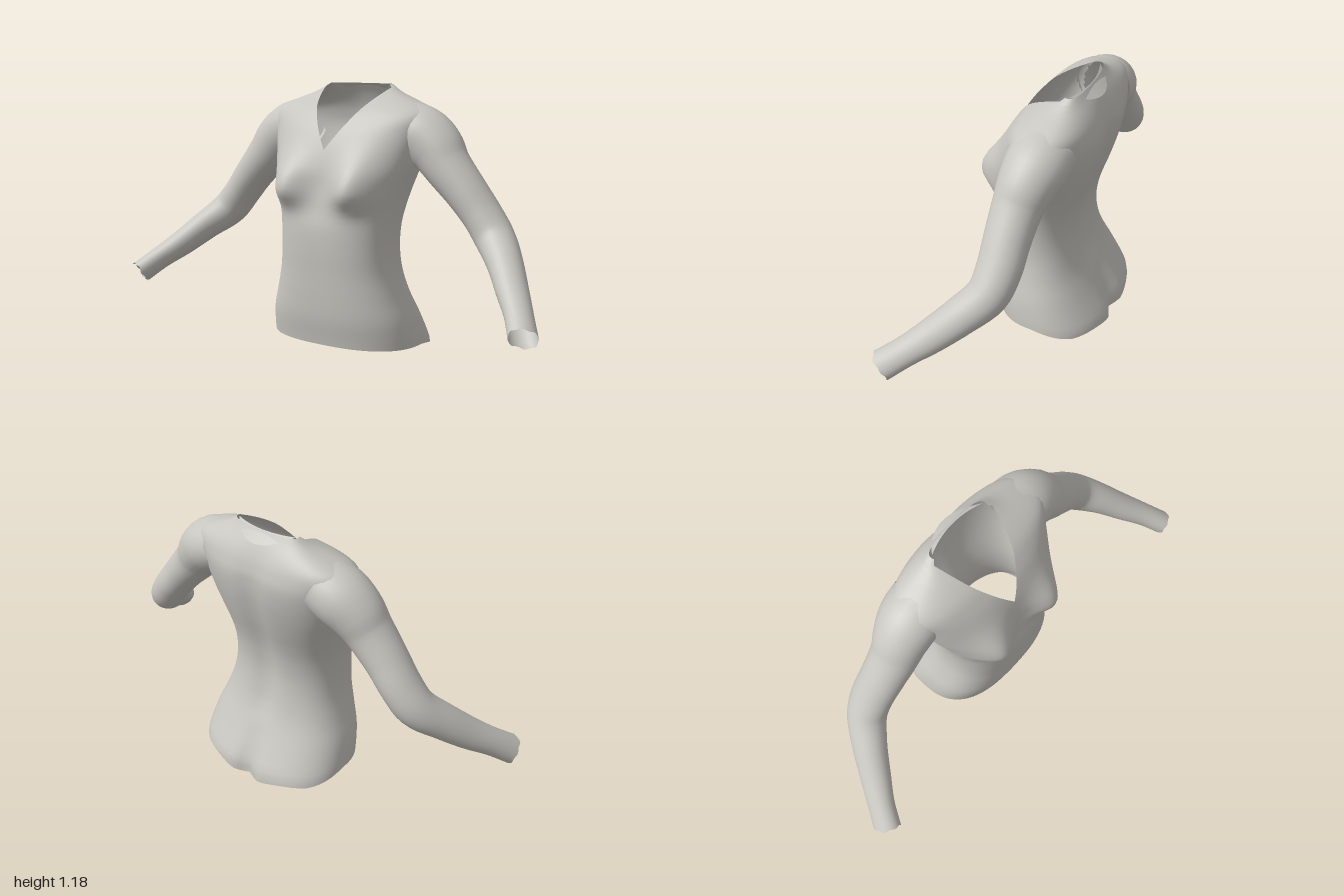
import * as THREE from 'three';
import { mergeVertices } from 'three/addons/utils/BufferGeometryUtils.js';

const V = (x, y, z) => new THREE.Vector3(x, y, z);
const gauss = (d, s) => Math.exp(-(d * d) / (s * s));
const clamp = THREE.MathUtils.clamp;

// Torso profile: height, half width, front z, back z
const PROFILE = [
  [0.00, 0.350, 0.165, -0.332], [0.06, 0.356, 0.170, -0.328], [0.10, 0.355, 0.176, -0.308],
  [0.20, 0.335, 0.195, -0.255], [0.30, 0.300, 0.203, -0.210], [0.40, 0.272, 0.207, -0.185],
  [0.50, 0.262, 0.211, -0.175], [0.60, 0.265, 0.208, -0.184], [0.68, 0.278, 0.190, -0.203],
  [0.76, 0.298, 0.174, -0.228], [0.84, 0.325, 0.166, -0.250], [0.92, 0.345, 0.145, -0.267],
  [1.00, 0.365, 0.108, -0.273], [1.06, 0.385, 0.064, -0.259], [1.09, 0.362, 0.035, -0.247],
  [1.12, 0.292, -0.005, -0.231], [1.15, 0.215, -0.052, -0.212], [1.17, 0.182, -0.085, -0.198],
  [1.187, 0.155, -0.110, -0.187],
];

// Smooth lookup in a table whose first column is the key
function lookup(table, key, col) {
  const n = table.length - 1;
  let i = 0;
  while (i < n - 1 && key > table[i + 1][0]) i++;
  const slope = (k) => {
    const a = table[Math.max(k - 1, 0)], b = table[Math.min(k + 1, n)];
    return (b[col] - a[col]) / (b[0] - a[0]);
  };
  const p = table[i], q = table[i + 1], h = q[0] - p[0];
  const t = clamp((key - p[0]) / h, 0, 1), t2 = t * t, t3 = t2 * t;
  return p[col] * (2 * t3 - 3 * t2 + 1) + slope(i) * h * (t3 - 2 * t2 + t)
    + q[col] * (3 * t2 - 2 * t3) + slope(i + 1) * h * (t3 - t2);
}

// Skin rows of points, leaving out faces that are completely hidden
function loft(rows, hidden = () => false) {
  const w = rows[0].length, index = [];
  const pts = rows.flat(), hide = pts.map(hidden);
  const tri = (...t) => { if (!t.every((k) => hide[k])) index.push(...t); };
  for (let r = 0; r < rows.length - 1; r++) {
    for (let c = 0; c < w - 1; c++) {
      const a = r * w + c;
      tri(a, a + 1, a + w + 1);
      tri(a, a + w + 1, a + w);
    }
  }
  let g = new THREE.BufferGeometry().setFromPoints(pts);
  g.setIndex(index);
  g = mergeVertices(g, 1e-4);
  g.computeVertexNormals();
  return g;
}

// Point on the torso at height y; phi runs from the front centre towards +x
function torsoPoint(phi, y) {
  const [hw, f, b] = [1, 2, 3].map((c) => lookup(PROFILE, y, c));
  const s = Math.sin(phi), c = Math.cos(phi);
  const x = hw * Math.sign(s) * Math.abs(s) ** 0.8;
  let z = (f + b) / 2 + (f - b) / 2 * Math.sign(c) * Math.abs(c) ** 0.8;
  if (c > 0) {
    // bust
    const dy = y - 0.755;
    z += 0.088 * gauss(Math.abs(x) - 0.165, 0.095) * gauss(dy, dy < 0 ? 0.078 : 0.125) * Math.min(1, c * 3);
  } else {
    // spine groove and seat cleft
    const k = Math.min(1, -c * 2);
    z += k * 0.018 * gauss(x, 0.06) * clamp((y - 0.15) * 5, 0, 1) * clamp((1.15 - y) * 6, 0, 1);
    z += k * 0.035 * gauss(x, 0.045) * clamp((0.25 - y) * 5, 0, 1);
  }
  return V(x, y, z);
}

function insideTorso(p) {
  const y = p.y, [hw, f, b] = [1, 2, 3].map((c) => lookup(PROFILE, y, c));
  if (y > 1.18) return false;
  const dx = Math.abs(p.x) / hw, dz = Math.abs(p.z - (f + b) / 2) / ((f - b) / 2);
  return dx ** 2.5 + dz ** 2.5 < 0.97;
}

// Sleeve stations: centre x, y, z, radius in the front plane, radius across it
const SLEEVE = [
  [0.26, 1.010, -0.110, 0.115, 0.130], [0.34, 0.975, -0.105, 0.122, 0.130],
  [0.405, 0.925, -0.095, 0.116, 0.117], [0.46, 0.860, -0.085, 0.100, 0.103],
  [0.55, 0.760, -0.083, 0.087, 0.095], [0.625, 0.668, -0.084, 0.081, 0.092],
  [0.69, 0.585, -0.066, 0.081, 0.086], [0.77, 0.507, 0.012, 0.069, 0.078],
  [0.845, 0.425, 0.105, 0.060, 0.070], [0.91, 0.360, 0.190, 0.052, 0.062],
  [0.964, 0.298, 0.270, 0.051, 0.064],
];
const sleevePath = new THREE.CatmullRomCurve3(SLEEVE.map((s) => V(s[0], s[1], s[2])));
const sleeveRadii = SLEEVE.map((s, i) => [i / (SLEEVE.length - 1), s[3], s[4]]);

function sleeveRows(side) {
  const rows = [], steps = 50, sides = 28;
  for (let i = 0; i <= steps; i++) {
    const t = i / steps, o = sleevePath.getPoint(t), d = sleevePath.getTangent(t);
    const n1 = V(0, 0, 1).cross(d).normalize(), n2 = d.clone().cross(n1);
    const r1 = lookup(sleeveRadii, t, 1), r2 = lookup(sleeveRadii, t, 2);
    const row = [];
    for (let j = 0; j <= sides; j++) {
      const a = (j % sides) / sides * Math.PI * 2;
      const p = o.clone().addScaledVector(n1, r1 * Math.cos(a)).addScaledVector(n2, r2 * Math.sin(a));
      // slightly ragged cuff
      if (i === steps) p.addScaledVector(d, 0.008 * Math.sin(a * 5) * Math.sin(a * 2 + 1));
      p.x *= side;
      row.push(p);
    }
    rows.push(side < 0 ? row.reverse() : row);
  }
  return rows;
}

const sleeveCores = [];
for (let t = 0.12; t < 0.5; t += 0.01) {
  sleeveCores.push([sleevePath.getPoint(t), lookup(sleeveRadii, t, 1) * 0.93]);
}
const insideSleeve = (p) => sleeveCores.some(([c, r]) => V(Math.abs(p.x), p.y, p.z).distanceTo(c) < r);

// Rows from hem to neck; above the V point each row opens at the front
function torsoRows() {
  const heights = [], cols = 96;
  for (let i = 0; i <= 36; i++) heights.push(0.083 + (0.92 - 0.083) * i / 36);
  for (let i = 1; i <= 20; i++) heights.push(0.92 + 0.267 * i / 20);
  return heights.map((h) => {
    const vx = Math.max(0, 0.165 * (h - 0.92) / 0.25);
    const open = Math.asin(Math.min(0.97, (vx / lookup(PROFILE, h, 1)) ** 1.25));
    const row = [];
    for (let j = 0; j <= cols; j++) {
      const phi = open + (2 * Math.PI - 2 * open) * j / cols;
      const back = clamp(-Math.cos(phi), 0, 1);
      // hem dips towards the centre of the back
      const dip = 0.038 * Math.min(1, back * 1.6) + (back > 0 ? 0.04 * gauss(Math.sin(phi) * 0.35, 0.12) : 0);
      row.push(torsoPoint(phi, h - dip * clamp(1 - (h - 0.083) / 0.25, 0, 1)));
    }
    return row;
  });
}

// Folded strip behind the neck
function collarRows() {
  return [1, 0.5, 0].map((k) => {
    const row = [];
    for (let j = 0; j <= 20; j++) {
      const u = j / 10 - 1, depth = k * (1 - u * u);
      row.push(V(-0.145 * u, 1.187 - 0.042 * depth, -0.182 - 0.052 * depth + 0.03 * u * u));
    }
    return row;
  });
}

export function createModel() {
  const fabric = new THREE.MeshStandardMaterial({ color: 0xc8c6c0, side: THREE.DoubleSide });
  fabric.name = 'light grey fabric';
  const shirt = new THREE.Group();
  shirt.name = 'shirt';
  const add = (name, geometry) => {
    const mesh = new THREE.Mesh(geometry, fabric);
    mesh.name = name;
    shirt.add(mesh);
  };
  add('torso', loft(torsoRows(), insideSleeve));
  add('leftSleeve', loft(sleeveRows(1), insideTorso));
  add('rightSleeve', loft(sleeveRows(-1), insideTorso));
  add('backCollar', loft(collarRows()));
  return shirt;
}
